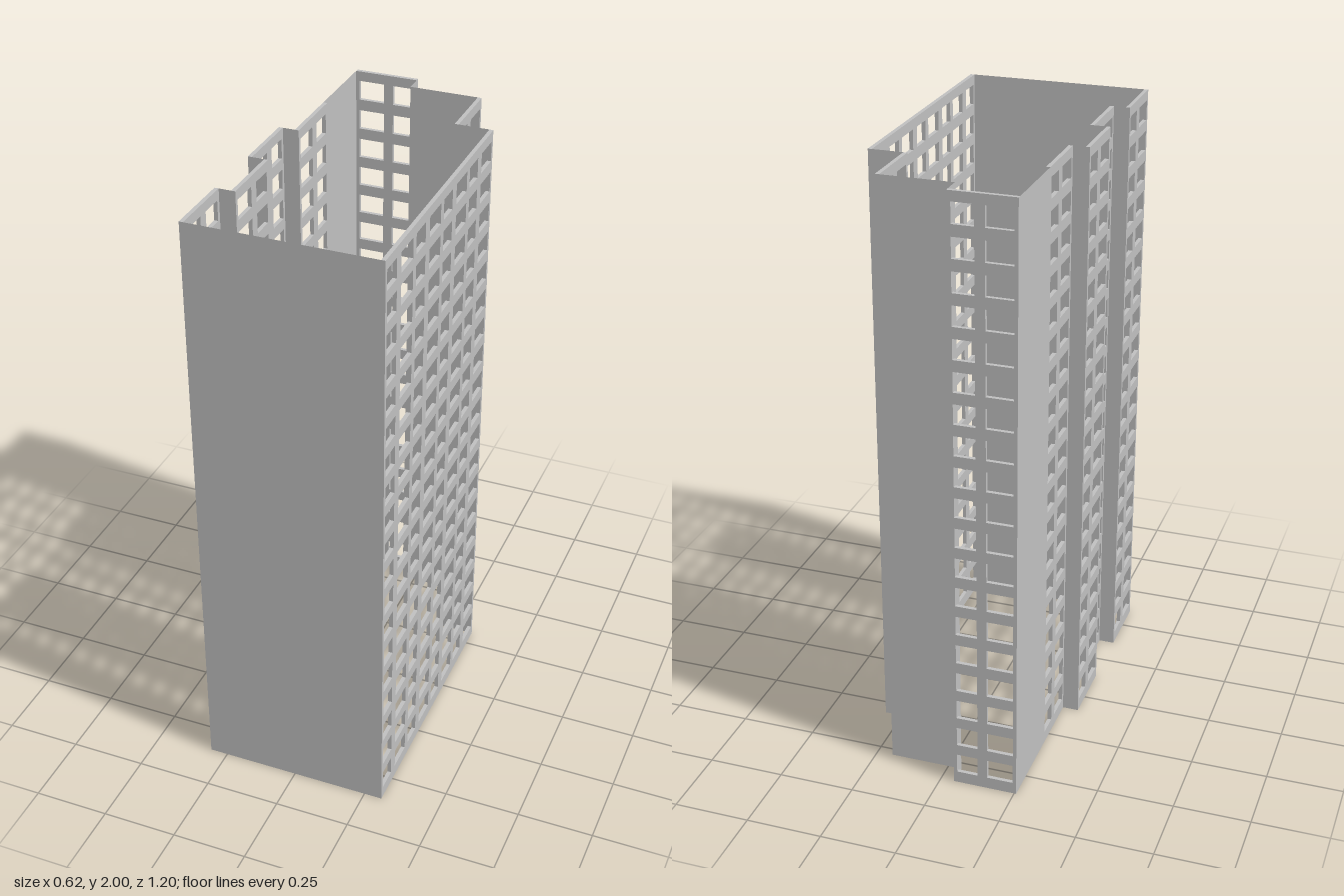
import * as THREE from 'three';

const HEIGHT = 2, THICK = 0.013;
const FLOORS = 19, FLOOR_PITCH = 0.1034, SILL = 0.04, WINDOW_H = 0.066;
// Window spans in one bay, as fractions of its width: a narrow one, then a wide one
const WINDOWS = [[0.055, 0.385], [0.535, 0.945]];

// Footprint walked with each wall seen left to right from outside: name, end x, end z, bays of windows
const START = [-0.31, 0.6];
const WALLS = [
  ['frontWall', 0.31, 0.6, 0],
  ['rightWindowWall', 0.31, -0.31, 4],
  ['rightStep', 0.197, -0.31, 0],
  ['rightRearWindowWall', 0.197, -0.53, 1],
  ['backWall', -0.045, -0.53, 0],
  ['backStep', -0.045, -0.6, 0],
  ['backWindowWall', -0.257, -0.6, 1],
  ['leftRearWall', -0.257, -0.31, 0],
  ['leftWindowWall1', -0.257, -0.085, 1],
  ['leftStep1', -0.31, -0.085, 0],
  ['leftWindowWall2', -0.31, 0.142, 1],
  ['leftStep2', -0.257, 0.142, 0],
  ['leftWindowWall3', -0.257, 0.37, 1],
  ['leftStep3', -0.31, 0.37, 0],
  ['leftWindowWall4', -0.31, 0.6, 1],
];

function rect(path, x0, y0, x1, y1) {
  path.moveTo(x0, y0);
  path.lineTo(x1, y0);
  path.lineTo(x1, y1);
  path.lineTo(x0, y1);
  path.closePath();
  return path;
}

// Thin blank wall
function plainWall(length) {
  return new THREE.PlaneGeometry(length, HEIGHT).translate(length / 2, HEIGHT / 2, 0);
}

// Thick wall pierced by a grid of windows, outer face at z = 0
function windowWall(length, bays) {
  const shape = rect(new THREE.Shape(), 0, 0, length, HEIGHT);
  const bay = length / bays;
  for (let floor = 0; floor < FLOORS; floor++) {
    const y = SILL + floor * FLOOR_PITCH;
    for (let b = 0; b < bays; b++) {
      for (const [from, to] of WINDOWS) {
        shape.holes.push(rect(new THREE.Path(), (b + from) * bay, y, (b + to) * bay, y + WINDOW_H));
      }
    }
  }
  return new THREE.ExtrudeGeometry(shape, { depth: THICK, bevelEnabled: false }).translate(0, 0, -THICK);
}

export function createModel() {
  const building = new THREE.Group();
  building.name = 'apartmentTower';
  const concrete = new THREE.MeshStandardMaterial({ color: 0xc0c0c0, side: THREE.DoubleSide });
  concrete.name = 'concrete grey';

  let [x, z] = START;
  for (const [name, endX, endZ, bays] of WALLS) {
    const dx = endX - x, dz = endZ - z;
    const length = Math.hypot(dx, dz);
    const wall = new THREE.Mesh(bays ? windowWall(length, bays) : plainWall(length), concrete);
    wall.name = name;
    wall.position.set(x, 0, z);
    wall.rotation.y = Math.atan2(-dz, dx);
    building.add(wall);
    x = endX;
    z = endZ;
  }
  return building;
}
